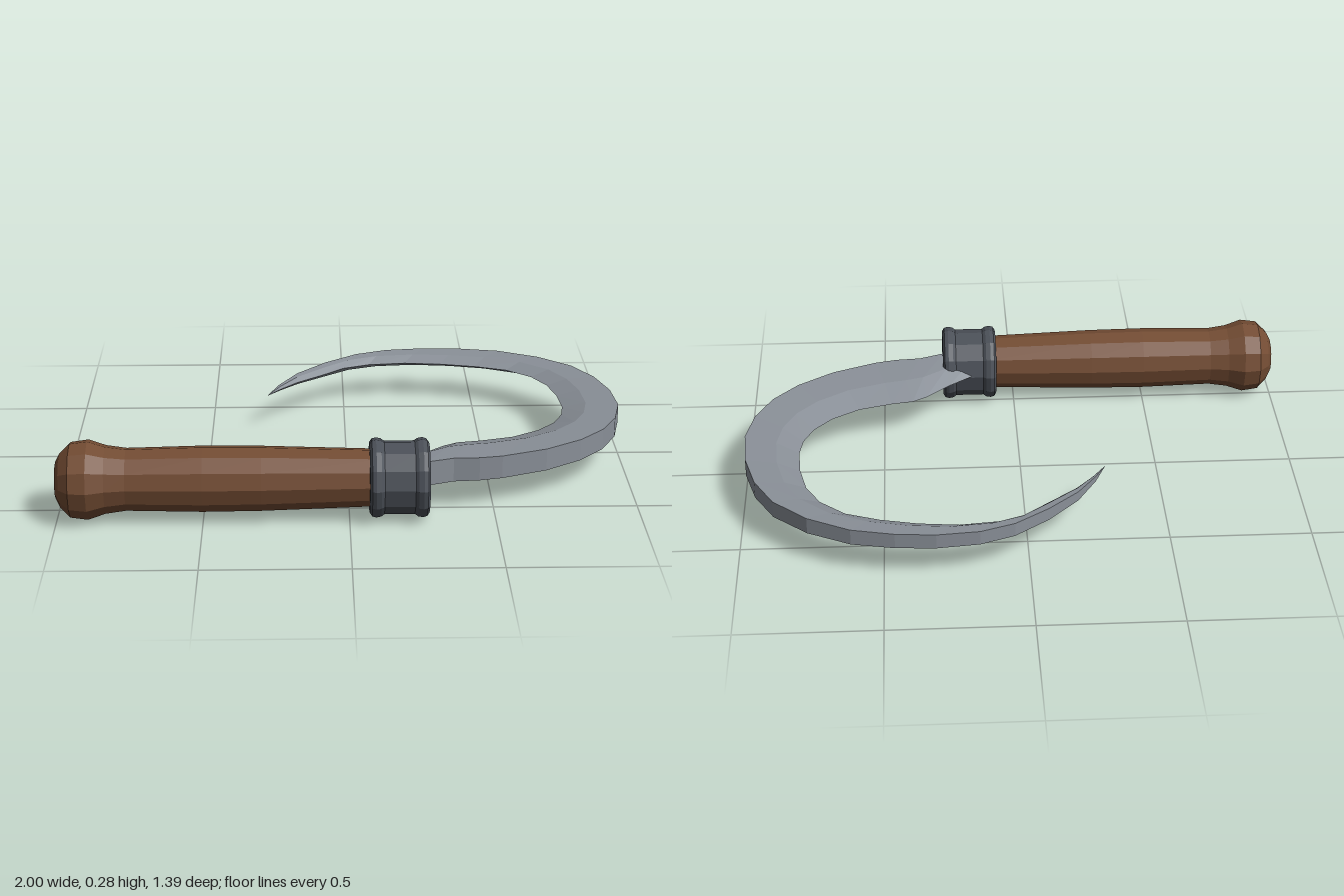
import * as THREE from 'three';

const wood = new THREE.MeshStandardMaterial({ color: 0x734c33 });
wood.name = 'brown wood';
const iron = new THREE.MeshStandardMaterial({ color: 0x4b5058 });
iron.name = 'dark iron';
const steel = new THREE.MeshStandardMaterial({ color: 0x8a9098 });
steel.name = 'grey steel';

// Faceted mesh: every face gets its own normal
function faceted(name, geometry, material) {
  const flat = geometry.index ? geometry.toNonIndexed() : geometry;
  flat.computeVertexNormals();
  const mesh = new THREE.Mesh(flat, material);
  mesh.name = name;
  return mesh;
}

// Twelve-sided turned part lying along x; profile rows are [x, radius]
function turned(name, profile, material) {
  const points = profile.map(([x, r]) => new THREE.Vector2(r, x));
  const geometry = new THREE.LatheGeometry(points, 12);
  geometry.rotateZ(-Math.PI / 2);
  geometry.translate(0, 0.14, 0.557);
  return faceted(name, geometry, material);
}

// Blade stations from collar to tip: outer x, outer z, inner x, inner z, half thickness
const stations = [
  [0.18, 0.57, 0.15, 0.44, 0.044], [0.27, 0.54, 0.25, 0.365, 0.044],
  [0.36, 0.507, 0.34, 0.28, 0.043], [0.45, 0.502, 0.39, 0.25, 0.042],
  [0.53, 0.485, 0.47, 0.235, 0.041], [0.69, 0.42, 0.59, 0.2, 0.04],
  [0.82, 0.33, 0.69, 0.135, 0.039], [0.91, 0.23, 0.755, 0.06, 0.038],
  [0.97, 0.11, 0.79, -0.02, 0.036], [1.0, -0.03, 0.802, -0.1, 0.035],
  [0.99, -0.19, 0.795, -0.22, 0.034], [0.95, -0.34, 0.77, -0.335, 0.032],
  [0.88, -0.47, 0.72, -0.43, 0.031], [0.76, -0.58, 0.63, -0.51, 0.03],
  [0.61, -0.658, 0.51, -0.555, 0.029], [0.46, -0.69, 0.38, -0.585, 0.028],
  [0.32, -0.7, 0.24, -0.6, 0.027], [0.17, -0.685, 0.1, -0.585, 0.026],
  [0.05, -0.64, 0.0, -0.545, 0.025], [-0.07, -0.55, -0.08, -0.47, 0.023],
  [-0.18, -0.44, -0.18, -0.385, 0.018], [-0.25, -0.33, -0.24, -0.315, 0.01],
  [-0.29, -0.245, -0.29, -0.245, 0.001],
];

// Cross-section: thick outer back, ridge part way in, sharp inner edge
function bladeGeometry() {
  const section = [[0, -1], [0, 1], [0.58, 0.8], [1, 0], [0.58, -0.8]];
  const n = section.length;
  const positions = [];
  const index = [];
  stations.forEach(([ox, oz, ix, iz, h], i) => {
    section.forEach(([t, v], k) => {
      positions.push(ox + (ix - ox) * t, 0.145 + h * v, oz + (iz - oz) * t);
      if (i === stations.length - 1) return;
      const a = i * n + k;
      const d = i * n + (k + 1) % n;
      index.push(a, a + n, d + n, a, d + n, d);
    });
  });
  for (let k = 1; k < n - 1; k++) index.push(0, k, k + 1);
  const geometry = new THREE.BufferGeometry();
  geometry.setAttribute('position', new THREE.Float32BufferAttribute(positions, 3));
  geometry.setIndex(index);
  return geometry;
}

export function createModel() {
  const sickle = new THREE.Group();
  sickle.name = 'sickle';

  // Grip with a rounded pommel
  sickle.add(turned('handle', [
    [-1, 0], [-1, 0.065], [-0.985, 0.095], [-0.95, 0.13], [-0.89, 0.138],
    [-0.83, 0.118], [-0.76, 0.108], [-0.5, 0.114], [-0.3, 0.112], [0.1, 0.099],
  ], wood));

  // Collar with a raised lip at each end
  sickle.add(turned('collar', [
    [0.068, 0], [0.068, 0.122], [0.076, 0.134], [0.09, 0.138], [0.107, 0.135],
    [0.118, 0.127], [0.222, 0.127], [0.233, 0.135], [0.25, 0.138],
    [0.264, 0.134], [0.272, 0.122], [0.272, 0],
  ], iron));

  sickle.add(faceted('blade', bladeGeometry(), steel));
  return sickle;
}
